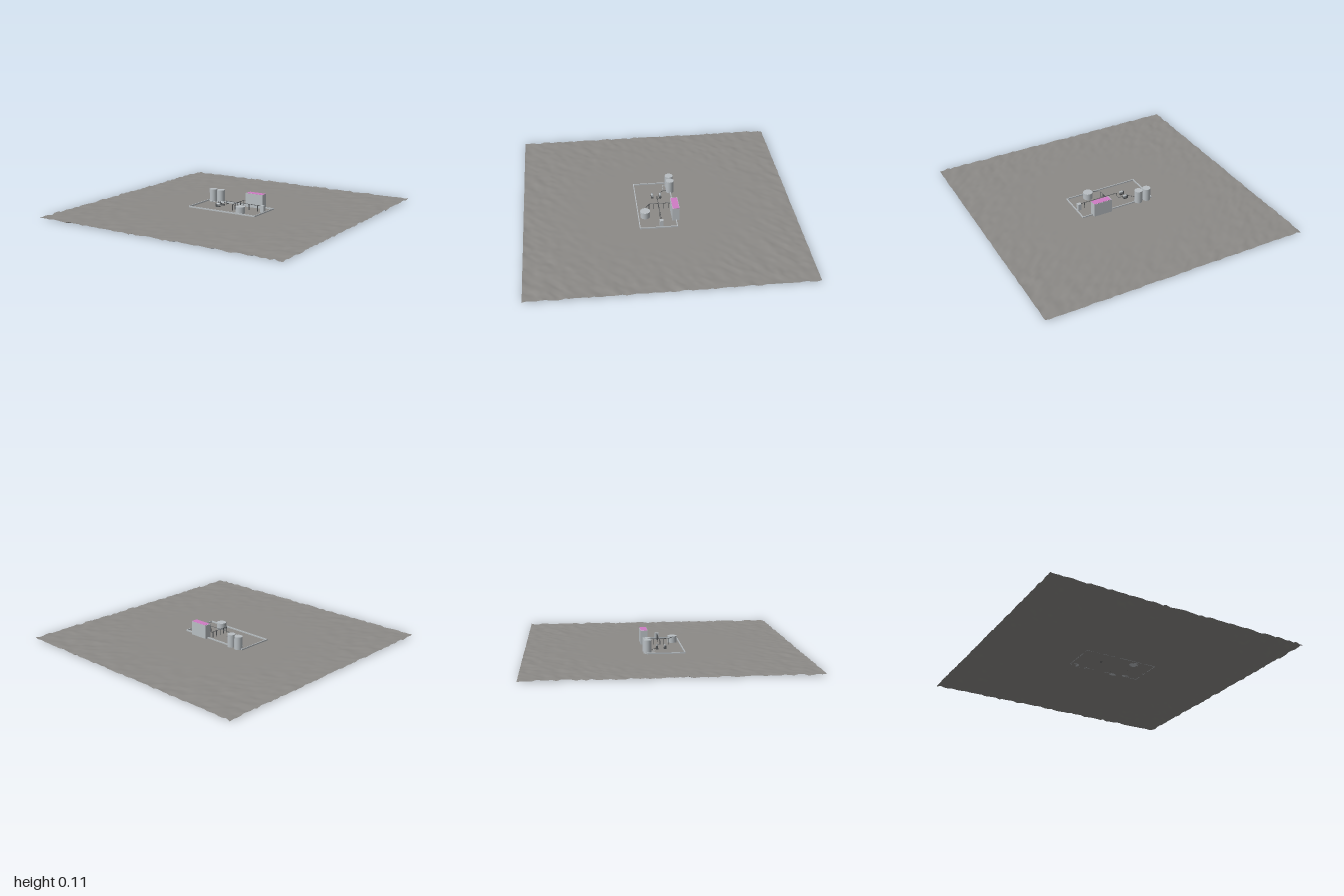
import * as THREE from 'three';

const GROUND = 0.01;

const colour = (name, color, side = THREE.FrontSide) => {
  const m = new THREE.MeshStandardMaterial({ color, side });
  m.name = name;
  return m;
};

export function createModel() {
  const root = new THREE.Group();
  root.name = 'processingSite';
  const soil = colour('greySoil', 0x8c8a87, THREE.DoubleSide);
  const steel = colour('paleSteel', 0xb8bec2);
  const pink = colour('pinkRoof', 0xcf7cc4);
  const dark = colour('darkMetal', 0x55585a);

  const add = (name, geo, mat, x = 0, y = 0, z = 0) => {
    const mesh = new THREE.Mesh(geo, mat);
    mesh.name = name;
    mesh.position.set(x, y, z);
    root.add(mesh);
    return mesh;
  };
  const box = (name, mat, w, h, d, x, y, z) =>
    add(name, new THREE.BoxGeometry(w, h, d), mat, x, y + h / 2, z);
  const tank = (name, r, top, x, z) =>
    add(name, new THREE.CylinderGeometry(r, r, top - GROUND, 32), steel, x, (top + GROUND) / 2, z);

  // straight pipe runs through a list of points
  const pipe = (name, mat, r, points) => {
    const path = new THREE.CurvePath();
    const v = points.map((p) => new THREE.Vector3(...p));
    for (let i = 1; i < v.length; i++) {
      path.add(new THREE.LineCurve3(v[i - 1], v[i]));
      const tube = new THREE.TubeGeometry(path.curves[i - 1], 1, r, 8);
      add(name, tube, mat);
      add(name + 'Joint', new THREE.SphereGeometry(r, 8, 6), mat, ...points[i]);
    }
  };

  // terrain: level in the middle, rougher towards the rim
  let seed = 7;
  const random = () => {
    seed = (seed * 16807) % 2147483647;
    return seed / 2147483647;
  };
  const land = new THREE.PlaneGeometry(2, 2, 64, 64).rotateX(-Math.PI / 2);
  const pos = land.attributes.position;
  for (let i = 0; i < pos.count; i++) {
    const dist = Math.hypot(pos.getX(i), pos.getZ(i));
    const rough = THREE.MathUtils.smoothstep(dist, 0.35, 1.1);
    pos.setY(i, GROUND + (random() - 0.5) * 0.012 * rough);
  }
  land.computeVertexNormals();
  add('terrain', land, soil);

  // low curb around the site
  const [x0, x1, z0, z1] = [-0.283, 0.29, -0.114, 0.158];
  const cx = (x0 + x1) / 2, cz = (z0 + z1) / 2;
  for (const z of [z0, z1]) box('curb', steel, x1 - x0 + 0.006, 0.01, 0.006, cx, GROUND, z);
  for (const x of [x0, x1]) box('curb', steel, 0.006, 0.01, z1 - z0 - 0.006, x, GROUND, cz);

  // storage tanks
  tank('tallTank', 0.03, 0.107, -0.243, -0.112);
  tank('tallTank', 0.03, 0.107, -0.174, -0.112);
  tank('shortTank', 0.036, 0.06, 0.138, 0.108);

  // main building with its pink roof, and the control box
  box('building', steel, 0.145, 0.105, 0.054, 0.138, GROUND, -0.112);
  box('roofPanel', pink, 0.136, 0.003, 0.048, 0.141, 0.114, -0.112);
  box('controlBox', steel, 0.027, 0.05, 0.027, 0.265, GROUND, 0);

  // pumps on plinths
  for (const z of [-0.03, 0.03]) {
    box('pumpBase', dark, 0.034, 0.008, 0.018, -0.108, GROUND, z);
    const body = add('pumpBody', new THREE.CylinderGeometry(0.008, 0.008, 0.026, 16), steel, -0.104, 0.032, z);
    body.rotation.z = Math.PI / 2;
    box('pumpHead', dark, 0.01, 0.018, 0.014, -0.122, 0.018, z);
  }

  // feed lines from the tanks to the pump, then up to the overhead line
  pipe('feedPipe', steel, 0.002, [[-0.243, 0.022, -0.084], [-0.243, 0.022, -0.062], [-0.17, 0.022, -0.062]]);
  pipe('feedPipe', dark, 0.002, [[-0.174, 0.022, -0.084], [-0.17, 0.022, -0.062], [-0.135, 0.026, -0.032], [-0.122, 0.026, -0.03]]);
  pipe('riserPipe', dark, 0.002, [[-0.092, 0.032, -0.03], [-0.05, 0.032, -0.03], [-0.05, 0.032, 0], [-0.05, 0.056, 0]]);
  pipe('overheadPipe', dark, 0.002, [[-0.05, 0.056, 0], [0.252, 0.056, 0]]);
  pipe('crossPipe', dark, 0.002, [[0.066, 0.056, -0.1], [0.047, 0.056, -0.085], [0.047, 0.056, 0.07], [0.106, 0.056, 0.108]]);

  // slim posts under the overhead lines
  const post = (x, z) => box('pipePost', dark, 0.004, 0.046, 0.004, x, GROUND, z);
  for (const z of [-0.08, -0.04, 0, 0.035, 0.07]) post(0.047, z);
  for (const x of [0.147, 0.22]) post(x, 0);

  return root;
}
